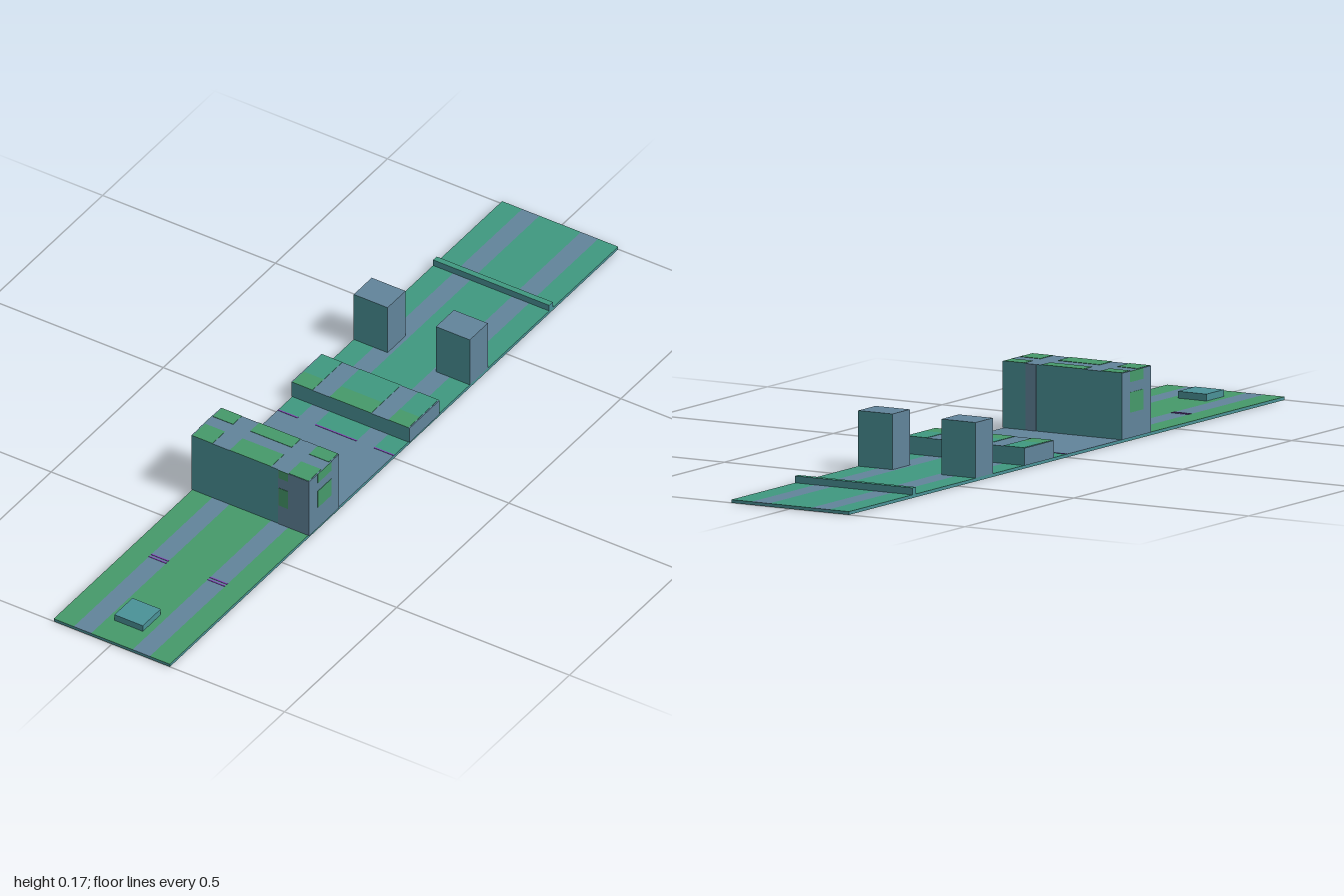
import * as THREE from 'three';

const flat = (name, color) => {
  const m = new THREE.MeshStandardMaterial({ color });
  m.name = name;
  return m;
};

export function createModel() {
  const root = new THREE.Group();
  root.name = 'obstacleCourse';
  const aqua = flat('aqua', 0x4a9197);
  const teal = flat('teal', 0x3f987f);
  const green = flat('green', 0x45996a);
  const slate = flat('slate', 0x61849a);
  const purple = flat('purple', 0x8246b8);

  // Box given by its limits along each axis
  function block(name, [x0, x1], [y0, y1], [z0, z1], material, parent = root) {
    const mesh = new THREE.Mesh(new THREE.BoxGeometry(x1 - x0, y1 - y0, z1 - z0), material);
    mesh.position.set((x0 + x1) / 2, (y0 + y1) / 2, (z0 + z1) / 2);
    mesh.name = name;
    parent.add(mesh);
    return mesh;
  }

  const T = 0.001; // paint thickness
  const deck = 0.008;
  const half = 0.168;
  const lanes = [[-half, -0.11], [-0.11, -0.06], [-0.06, 0.06], [0.06, 0.11], [0.11, half]];
  const isStripe = (i) => i % 2 === 1;

  // Long thin deck with painted lanes above and below
  block('deck', [-half, half], [T, deck - T], [-1, 1], aqua);
  const zones = [
    { z: [-1, 0], main: teal },
    { z: [0, 0.25], main: slate },
    { z: [0.25, 1], main: green },
  ];
  for (const { z, main } of zones) {
    lanes.forEach((x, i) => {
      const material = isStripe(i) ? slate : main;
      block('deckTopLane', x, [deck - T, deck], z, material);
      block('deckBottomLane', x, [0, T], z, material);
    });
  }

  // Fine marking lines across the deck
  lanes.forEach((x, i) => {
    if (isStripe(i)) {
      for (const z of [0.654, 0.664]) block('laneMark', x, [deck, deck + T], [z - 0.002, z + 0.002], purple);
    } else {
      block('centreMark', x, [deck, deck + T], [-0.002, 0.002], purple);
    }
  });

  // Tall wall; top, sides and right end of its faces are slate
  const side = 0.171;
  const wallZ = [0.25, 0.382];
  const wallTop = 0.172;
  block('wall', [-side, side], [deck, wallTop], wallZ, [slate, slate, slate, aqua, aqua, aqua]);
  block('wallFrontBand', [0.08, side], [deck, wallTop], [wallZ[1], wallZ[1] + T], slate);
  block('wallBackBand', [0.075, 0.105], [deck, wallTop], [wallZ[0] - T, wallZ[0]], slate);
  for (const y of [[0.065, 0.118], [0.148, wallTop]]) {
    block('wallFrontPatch', [0.083, 0.11], y, [wallZ[1] + T, wallZ[1] + 2 * T], green);
  }
  lanes.forEach((x, i) => {
    if (isStripe(i)) return;
    for (const z of [[0.25, 0.29], [0.325, 0.382]]) block('wallTopPatch', x, [wallTop, wallTop + T], z, green);
  });
  for (const s of [-1, 1]) {
    const x = s > 0 ? [side, side + T] : [-side - T, -side];
    block('wallSidePatch', x, [0.07, 0.12], [0.285, 0.345], green);
    block('wallSidePatch', x, [0.145, wallTop], [0.285, 0.345], green);
  }

  // Low step with a green leading band between the stripes
  const stepTop = 0.051;
  const stepZ = [-0.198, -0.064];
  block('step', [-side, side], [deck, stepTop], stepZ, [slate, slate, slate, aqua, aqua, aqua]);
  lanes.forEach((x, i) => {
    if (isStripe(i)) return;
    block('stepTopBack', x, [stepTop, stepTop + T], [stepZ[0], -0.115], teal);
    block('stepTopFront', x, [stepTop, stepTop + T], [-0.115, stepZ[1]], green);
  });

  // Pair of towers at the deck edges
  for (const s of [-1, 1]) {
    const x = s > 0 ? [0.07, half] : [-half, -0.07];
    block('tower', x, [deck, 0.145], [-0.418, -0.338], [slate, slate, slate, aqua, aqua, aqua]);
  }

  // Low hurdle bar at the back and small pad at the front
  block('hurdleBar', [-half, half], [deck, 0.025], [-0.708, -0.692], [aqua, aqua, teal, aqua, aqua, aqua]);
  block('startPad', [-0.041, 0.041], [deck, 0.025], [0.845, 0.925], aqua);

  return root;
}
